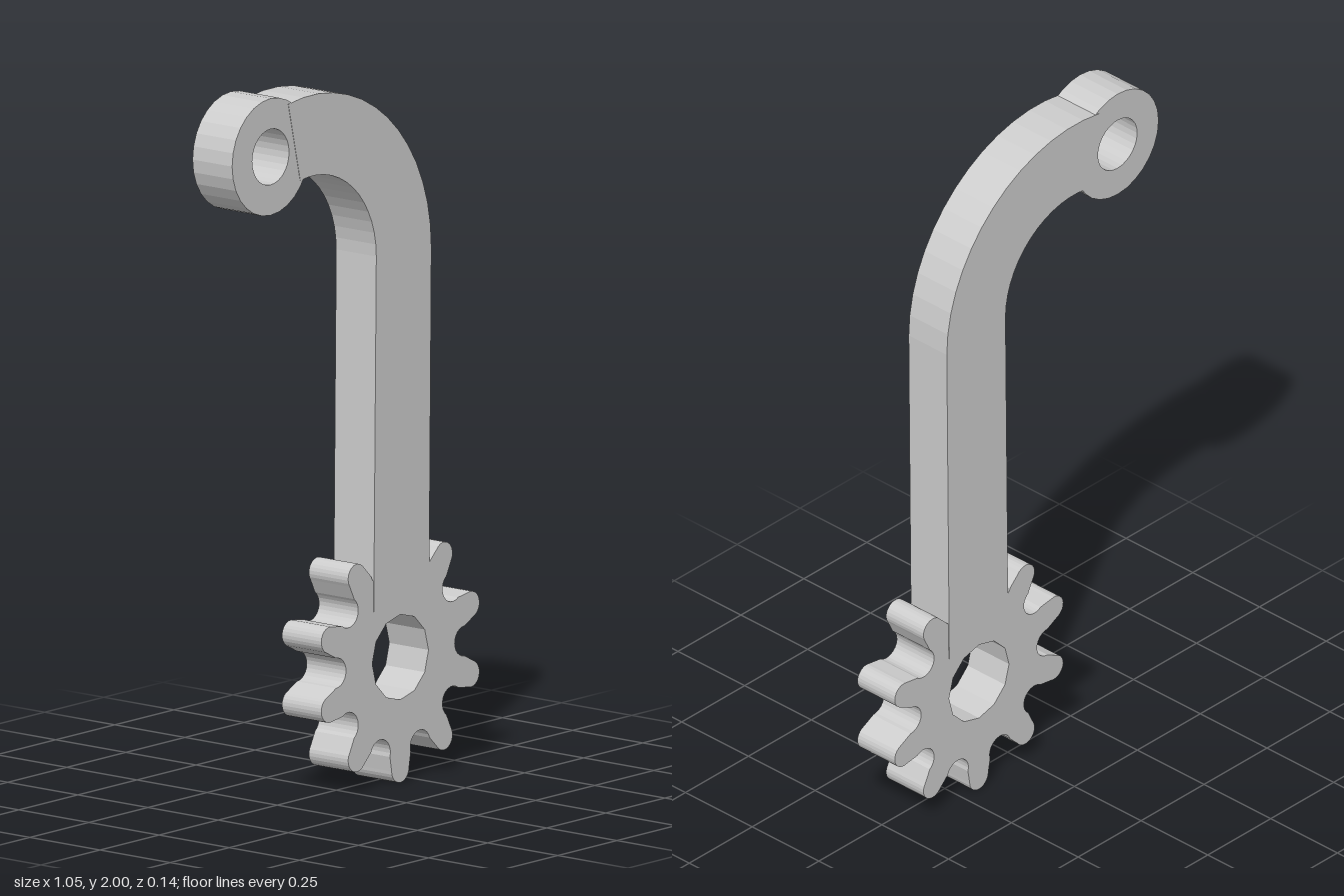
import * as THREE from 'three';

const DEG = Math.PI / 180;
const material = new THREE.MeshStandardMaterial({ color: 0xcccccc, flatShading: true });

// Extrude a flat outline from z0 to z1
function plate(name, shape, z0, z1, curveSegments) {
  const geometry = new THREE.ExtrudeGeometry(shape, { depth: z1 - z0, bevelEnabled: false, curveSegments });
  geometry.translate(0, 0, z0);
  const mesh = new THREE.Mesh(geometry, material);
  mesh.name = name;
  return mesh;
}

function addHole(shape, x, y, radius) {
  const hole = new THREE.Path();
  hole.absarc(x, y, radius, 0, Math.PI * 2, true);
  shape.holes.push(hole);
}

// Ten round-tipped teeth joined by round valleys, with a bore
function gearShape(cx, cy) {
  const teeth = 10, step = Math.PI * 2 / teeth;
  const tipDistance = 0.313, tipRadius = 0.037;
  const valleyDistance = 0.272, valleyRadius = 0.042;
  const shape = new THREE.Shape();
  for (let i = 0; i < teeth; i++) {
    const a = -Math.PI / 2 + i * step;
    const v = a + step / 2;
    shape.absarc(cx + Math.cos(a) * tipDistance, cy + Math.sin(a) * tipDistance,
      tipRadius, a - Math.PI / 2, a + Math.PI / 2, false);
    shape.absarc(cx + Math.cos(v) * valleyDistance, cy + Math.sin(v) * valleyDistance,
      valleyRadius, v - Math.PI / 2, v - Math.PI * 1.5, true);
  }
  shape.closePath();
  addHole(shape, cx, cy, 0.119);
  return shape;
}

// Straight shank that sweeps over into a quarter bend
function armShape() {
  const shape = new THREE.Shape();
  shape.moveTo(0.074, 0.48);
  shape.lineTo(0.308, 0.48);
  shape.absarc(-0.19, 1.473, 0.508, 0, 101 * DEG, false);
  shape.absarc(-0.185, 1.485, 0.27, 101 * DEG, 0, true);
  shape.closePath();
  return shape;
}

// Round eye at the end of the bend
function eyeShape(cx, cy) {
  const shape = new THREE.Shape();
  shape.absarc(cx, cy, 0.163, 0, Math.PI * 2, false);
  addHole(shape, cx, cy, 0.078);
  return shape;
}

export function createModel() {
  const group = new THREE.Group();
  group.name = 'gearLever';
  group.add(
    plate('gear', gearShape(0.188, 0.35), -0.07, 0.07, 6),
    plate('arm', armShape(), -0.072, 0.071, 7),
    plate('eye', eyeShape(-0.361, 1.837), -0.071, 0.07, 14),
  );
  return group;
}
